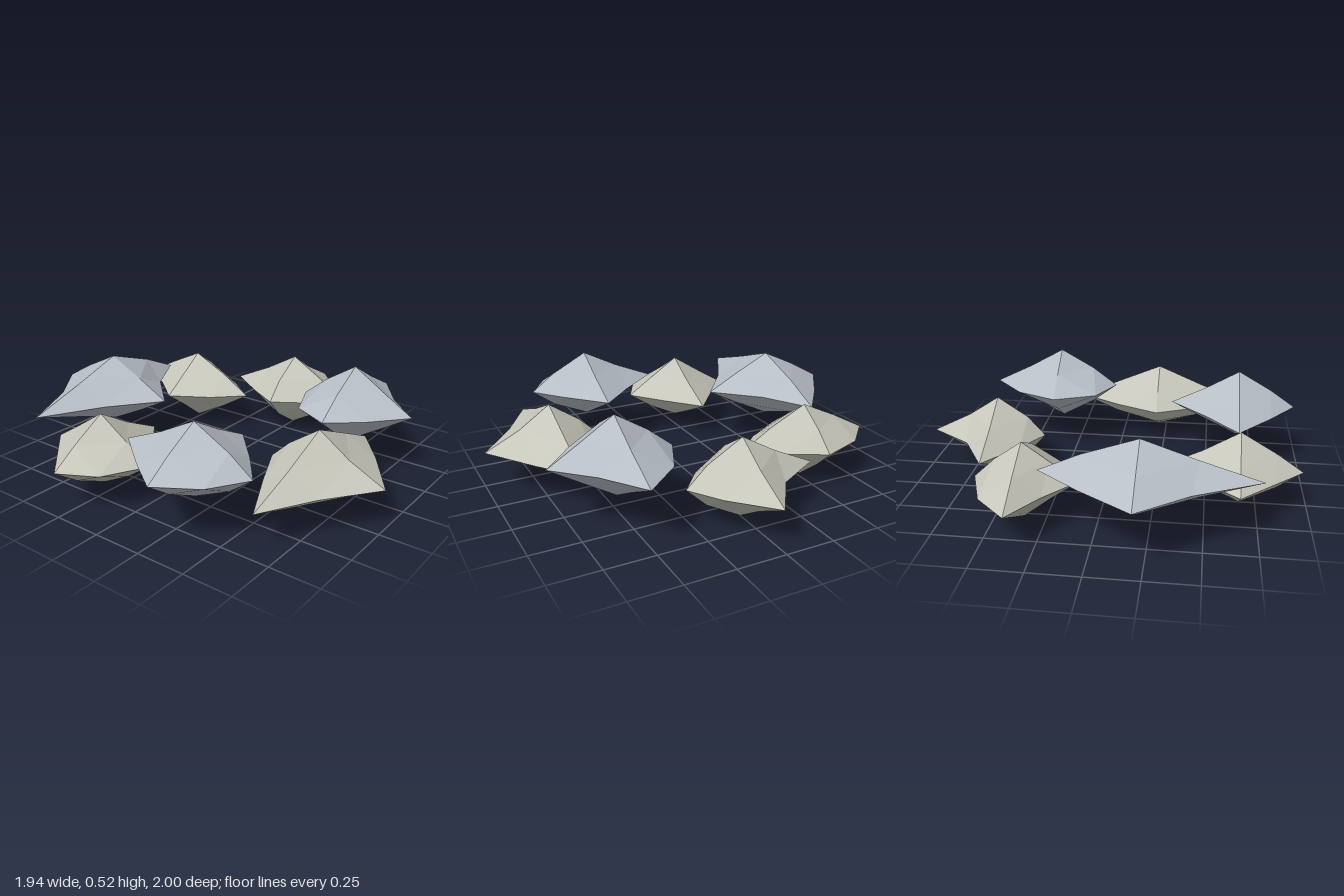
import * as THREE from 'three';

const warm = new THREE.MeshStandardMaterial({ color: 0xc6c6bb, flatShading: true });
const cool = new THREE.MeshStandardMaterial({ color: 0xb7bec6, flatShading: true });

// tips: reach along +x -x +y -y +z -z
// rim: fullness of the equator corners +x+z, -x+z, +x-z, -x-z
const STONES = [
  { tips: [0.36, 0.25, 0.205, 0.2, 0.29, 0.395], rim: [0.54, 0.48, 0.45, 0.5] },
  { tips: [0.39, 0.32, 0.205, 0.2, 0.33, 0.29], rim: [0.49, 0.53, 0.62, 0.63] },
  { tips: [0.47, 0.52, 0.2, 0.165, 0.345, 0.255], rim: [0.54, 0.51, 0.48, 0.48] },
  { tips: [0.36, 0.305, 0.19, 0.175, 0.315, 0.405], rim: [0.5, 0.55, 0.53, 0.52] },
  { tips: [0.37, 0.31, 0.195, 0.17, 0.3, 0.31], rim: [0.53, 0.62, 0.52, 0.48] },
  { tips: [0.465, 0.555, 0.18, 0.18, 0.365, 0.35], rim: [0.41, 0.48, 0.49, 0.46] },
  { tips: [0.235, 0.27, 0.19, 0.2, 0.36, 0.38], rim: [0.51, 0.57, 0.61, 0.49] },
];

// Octahedron split once: each octant has three tips, three edge corners, four faces
function stoneGeometry({ tips, rim }) {
  const [mx, my, mz] = [0, 2, 4].map((i) => (tips[i] + tips[i + 1]) / 2);
  const pos = [];
  for (const sx of [1, -1]) for (const sy of [1, -1]) for (const sz of [1, -1]) {
    const ix = sx < 0 ? 1 : 0, iy = sy < 0 ? 1 : 0, iz = sz < 0 ? 1 : 0;
    const f = rim[ix + 2 * iz];
    const X = [sx * tips[ix], 0, 0];
    const Y = [0, sy * tips[2 + iy], 0];
    const Z = [0, 0, sz * tips[4 + iz]];
    const XY = [sx * mx * 0.52, sy * my * 0.5, 0];
    const YZ = [0, sy * my * 0.5, sz * mz * 0.53];
    const ZX = [sx * mx * f, 0, sz * mz * f];
    for (const [a, b, c] of [[X, XY, ZX], [XY, Y, YZ], [ZX, YZ, Z], [XY, YZ, ZX]]) {
      if (sx * sy * sz > 0) pos.push(...a, ...b, ...c);
      else pos.push(...a, ...c, ...b);
    }
  }
  const geo = new THREE.BufferGeometry();
  geo.setAttribute('position', new THREE.Float32BufferAttribute(pos, 3));
  geo.computeVertexNormals();
  return geo;
}

export function createModel() {
  const group = new THREE.Group();
  group.name = 'stoneRing';
  // Stones evenly spaced on a circle, every second one raised and bluish
  STONES.forEach((stone, i) => {
    const raised = i % 2 === 1;
    const angle = (i / STONES.length) * Math.PI * 2;
    const mesh = new THREE.Mesh(stoneGeometry(stone), raised ? cool : warm);
    mesh.name = `stone${i + 1}`;
    mesh.position.set(0.668 * Math.cos(angle) - 0.057, raised ? 0.32 : 0.205, 0.668 * Math.sin(angle));
    group.add(mesh);
  });
  return group;
}
